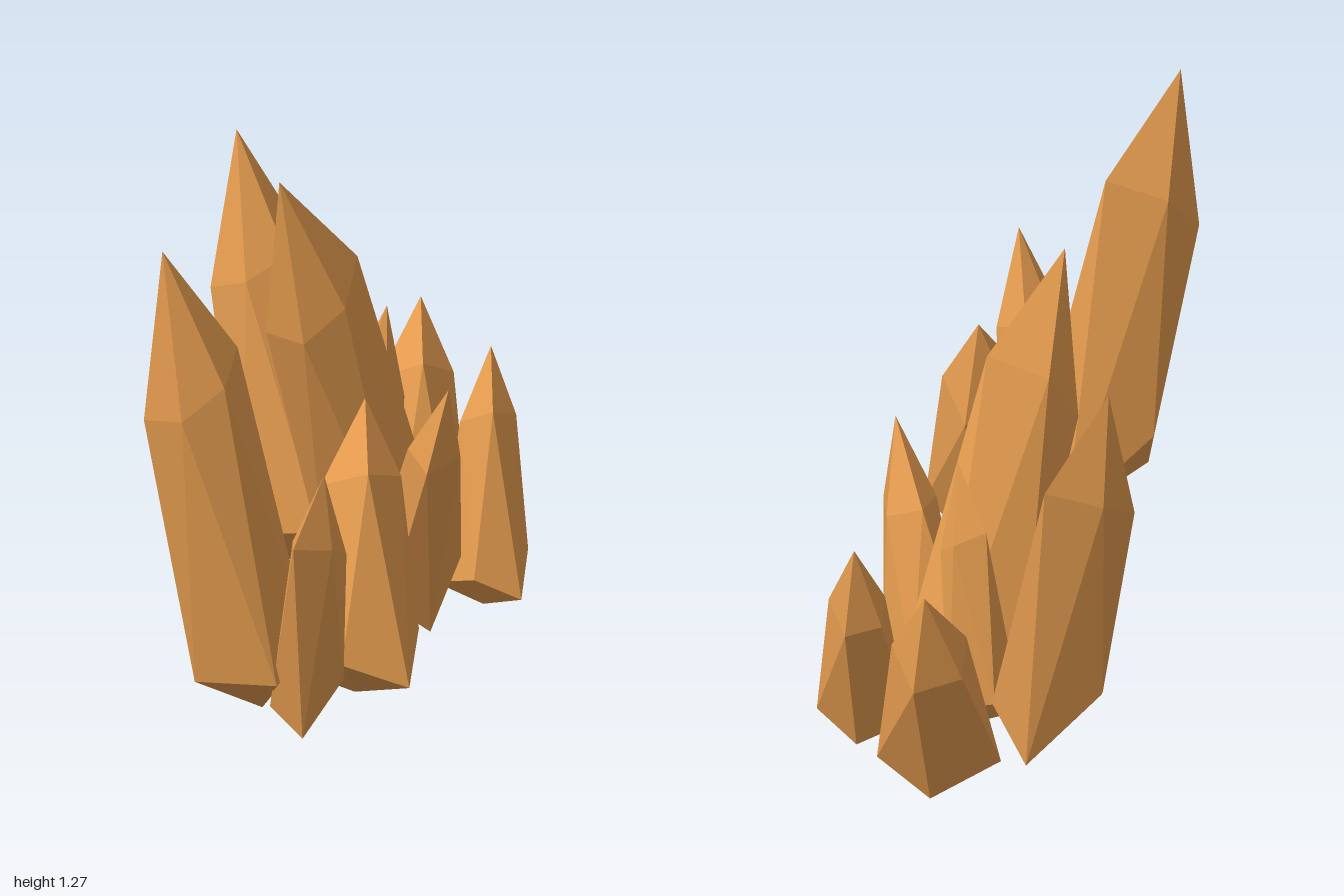
import * as THREE from 'three';
import { ConvexGeometry } from 'three/addons/geometries/ConvexGeometry.js';

// Corners of one crystal: [t along the axis, offset u, offset v across it]
const CORNERS = [
  // blunt foot
  [0, -0.02, 0], [0.05, -0.12, 0.15], [0.19, 0.08, 0.15],
  [0.05, 0.15, 0], [0.08, -0.02, -0.18], [0.14, -0.18, -0.02],
  // slanted shoulder
  [0.79, -0.16, 0.03], [0.735, 0, 0.1], [0.62, 0.135, 0.03],
  [0.64, 0.07, -0.1], [0.72, -0.065, -0.1],
  // tip
  [1, 0, 0],
];
const OWN_SLANT = 0.32;

// Stretches the crystal from base to tip, spun about its axis and tilted with its lean
function crystalGeometry(base, tip, width, spin) {
  const a = new THREE.Vector3(...base);
  const b = new THREE.Vector3(...tip);
  const angle = THREE.MathUtils.degToRad(spin);
  const uDir = new THREE.Vector3(Math.cos(angle), 0, Math.sin(angle));
  const vDir = new THREE.Vector3(-uDir.z, 0, uDir.x);
  // lean beyond the slant the crystal already has
  const tilt = b.clone().sub(a).divideScalar(b.y - a.y).addScaledVector(uDir, -OWN_SLANT);
  return new ConvexGeometry(CORNERS.map(([t, u, v]) => {
    const offset = uDir.clone().multiplyScalar(u * width).addScaledVector(vDir, v * width);
    offset.y = -offset.dot(tilt);
    return a.clone().lerp(b, t).add(offset);
  }));
}

// Each crystal: name, base, tip, width, spin in degrees
const CLUSTERS = {
  frontCluster: [
    ['tallCrystal', [-0.14, 0.04, 0.765], [-0.37, 1.26, 0.85], 1, 156],
    ['mediumCrystal', [0.1, 0.045, 0.58], [0.1, 0.76, 0.35], 1, -90],
    ['smallCrystal', [-0.01, 0.015, 0.79], [0.06, 0.71, 0.97], 0.6, -41],
  ],
  backCluster: [
    ['tallFrontCrystal', [0.07, 0.08, -0.43], [-0.165, 1.22, -0.06], 1, 156],
    ['tallRightCrystal', [-0.17, 0.08, -0.56], [-0.35, 1.18, -0.76], 0.92, 156],
    ['rearCrystal', [0.1, 0.015, -0.71], [0.1, 0.69, -1], 0.93, -90],
    ['centreCrystal', [0, 0.1, -0.54], [0.07, 0.8, -0.46], 0.55, 53],
    ['smallFrontCrystal', [0.14, 0.06, -0.38], [0.275, 0.69, -0.03], 0.65, -66],
    ['smallLeftCrystal', [0.315, 0.01, -0.505], [0.315, 0.645, -0.68], 0.7, -90],
  ],
};

export function createModel() {
  const model = new THREE.Group();
  model.name = 'crystals';
  const material = new THREE.MeshStandardMaterial({ color: 0xe29a4e, flatShading: true });
  for (const [clusterName, crystals] of Object.entries(CLUSTERS)) {
    const cluster = new THREE.Group();
    cluster.name = clusterName;
    for (const [name, base, tip, width, spin] of crystals) {
      const mesh = new THREE.Mesh(crystalGeometry(base, tip, width, spin), material);
      mesh.name = name;
      cluster.add(mesh);
    }
    model.add(cluster);
  }
  return model;
}
